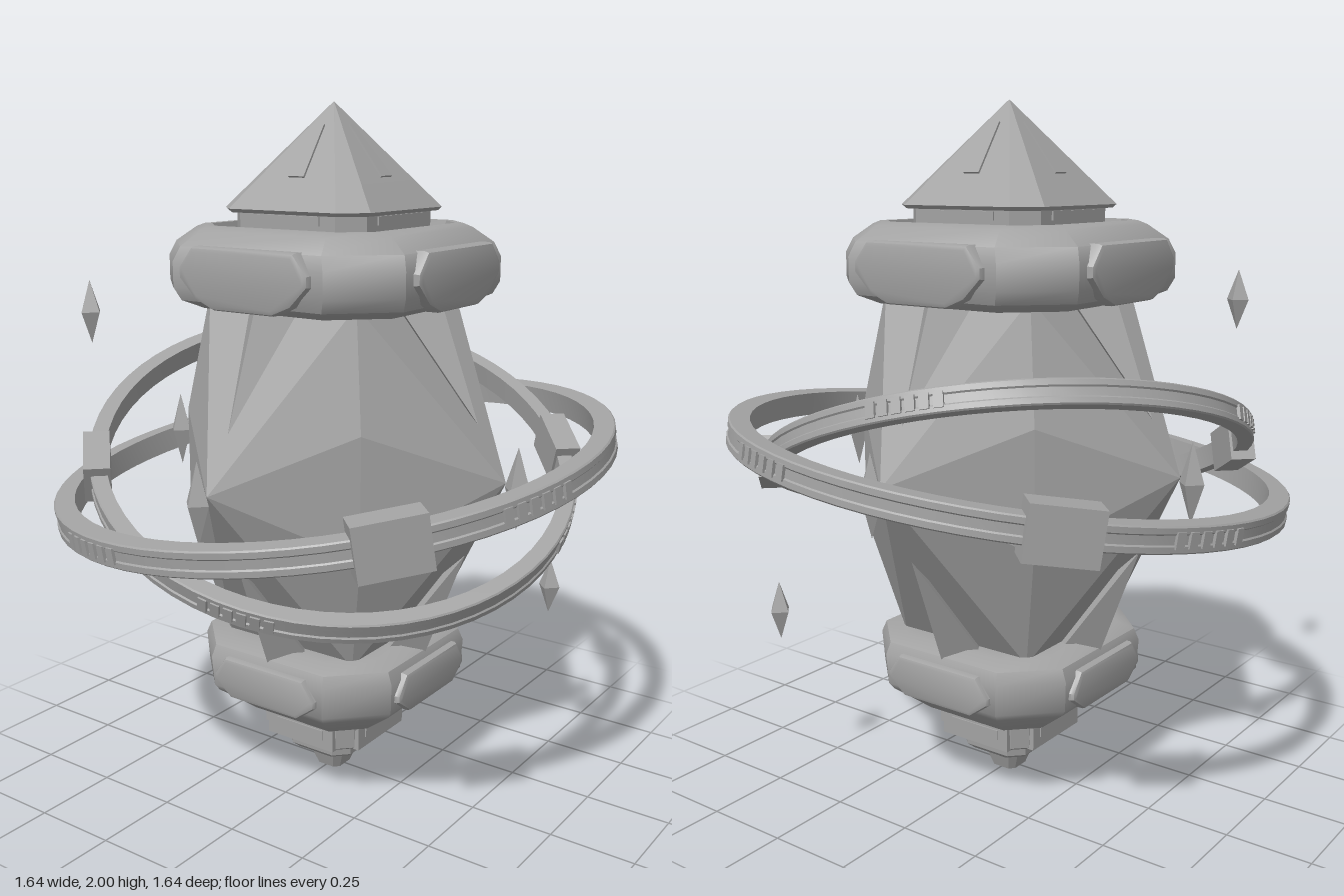
import * as THREE from 'three';
import { toCreasedNormals } from 'three/addons/utils/BufferGeometryUtils.js';
import { ConvexGeometry } from 'three/addons/geometries/ConvexGeometry.js';

const UP = new THREE.Vector3(0, 1, 0);
const V = (x, y, z) => new THREE.Vector3(x, y, z);

// Lofts chamfered-square loops given as [y, halfSize, chamfer]
function loft(rings, crease = 0.5) {
  const pos = [];
  const loops = rings.map(([y, h, c]) => {
    const k = h - c;
    return [[h, -k], [h, k], [k, h], [-k, h], [-h, k], [-h, -k], [-k, -h], [k, -h]].map(([x, z]) => [x, y, z]);
  });
  for (let r = 0; r < loops.length - 1; r++) {
    for (let i = 0; i < 8; i++) {
      const j = (i + 1) % 8;
      const a = loops[r][i], b = loops[r][j], d = loops[r + 1][i], c = loops[r + 1][j];
      if (rings[r + 1][1] > 0) pos.push(...b, ...d, ...c);
      if (rings[r][1] > 0) pos.push(...a, ...d, ...b);
    }
  }
  const g = new THREE.BufferGeometry();
  g.setAttribute('position', new THREE.Float32BufferAttribute(pos, 3));
  return toCreasedNormals(g, crease);
}

// Beveled plate from a mirrored half outline, facing +z
function plate(half, depth, bevel) {
  const pts = [...half, ...half.slice().reverse().map(([x, y]) => [-x, y])];
  const shape = new THREE.Shape(pts.map(([x, y]) => new THREE.Vector2(x, y)));
  return new THREE.ExtrudeGeometry(shape, {
    depth, steps: 1, bevelEnabled: bevel > 0, bevelThickness: bevel, bevelSize: bevel, bevelOffset: -bevel, bevelSegments: 2,
  });
}

export function createModel() {
  const model = new THREE.Group();
  const stone = new THREE.MeshStandardMaterial({ color: 0xa3a3a3 });
  stone.name = 'stone grey';

  const add = (name, geometry, parent = model) => {
    const m = new THREE.Mesh(geometry, stone);
    m.name = name;
    parent.add(m);
    return m;
  };
  const flat = (g) => toCreasedNormals(g, 0.1);
  // Calls build(group) for each of the four sides; +z is outward
  const fourSides = (name, build) => {
    for (let i = 0; i < 4; i++) {
      const side = new THREE.Group();
      side.name = name;
      side.rotation.y = i * Math.PI / 2;
      model.add(side);
      build(side);
    }
  };

  // Faceted crystal body
  const pts = [];
  for (const [sx, sz] of [[1, 1], [1, -1], [-1, 1], [-1, -1]]) {
    pts.push(V(sx * 0.25, 1.48, sz * 0.25), V(sx * 0.3, 1.15, sz * 0.3));
    pts.push(V(sx * 0.3, 0.81, sz * 0.3), V(sx * 0.22, 0.45, sz * 0.22));
  }
  for (const s of [-0.57, 0.57]) pts.push(V(s, 1, 0), V(0, 1, s));
  add('crystalBody', flat(new ConvexGeometry(pts)));

  // Spikes lying on the crystal, pointing to its middle
  const spike = (parent, from, to, r) => {
    const dir = to.clone().sub(from);
    const m = add('crystalSpike', flat(new THREE.ConeGeometry(r, dir.length(), 4)), parent);
    m.position.copy(from).addScaledVector(dir, 0.5);
    m.quaternion.setFromUnitVectors(UP, dir.normalize());
  };
  fourSides('spikes', (side) => {
    spike(side, V(0, 1.47, 0.27), V(0, 1.15, 0.48), 0.085);
    spike(side, V(0, 0.45, 0.24), V(0, 0.77, 0.45), 0.085);
  });

  // Collars
  add('upperCollar', loft([
    [1.46, 0, 0], [1.45, 0.3, 0.13], [1.45, 0.33, 0.13], [1.475, 0.385, 0.15], [1.51, 0.4, 0.15], [1.58, 0.4, 0.15],
    [1.62, 0.385, 0.15], [1.66, 0.33, 0.12], [1.67, 0.3, 0.09], [1.67, 0.275, 0.07], [1.62, 0.265, 0.07], [1.62, 0, 0],
  ], 0.6));
  add('lowerCollar', loft([
    [0.22, 0, 0], [0.22, 0.2, 0.07], [0.225, 0.215, 0.08], [0.31, 0.32, 0.13], [0.33, 0.335, 0.14], [0.42, 0.34, 0.14],
    [0.455, 0.325, 0.13], [0.475, 0.28, 0.11], [0.475, 0.22, 0.08], [0.44, 0, 0],
  ], 0.6));

  // Side pads on the collars
  const upperPad = [[0.1, 1.46], [0.16, 1.485], [0.215, 1.54], [0.215, 1.57], [0.17, 1.625]];
  const lowerPad = [[0.12, 0.315], [0.18, 0.36], [0.18, 0.38], [0.14, 0.435]];
  fourSides('collarPads', (side) => {
    add('upperPad', toCreasedNormals(plate(upperPad, 0.06, 0.014), 0.6), side).position.z = 0.346;
    add('lowerPad', toCreasedNormals(plate(lowerPad, 0.06, 0.012), 0.6), side).position.z = 0.284;
  });

  // Roof with neck band
  add('roofNeck', loft([[1.6, 0.22, 0.06], [1.705, 0.22, 0.06]], 0.3));
  add('roof', loft([[1.705, 0, 0], [1.705, 0.235, 0.06], [1.715, 0.245, 0.065], [1.995, 0.005, 0.0015], [2, 0, 0]], 0.2));
  // Roof slits and neck panels
  const slope = Math.atan2(0.24, 0.28);
  fourSides('roofDetails', (side) => {
    const slit = add('roofSlit', plate([[0.026, -0.09], [0.01, 0.09]], 0.006, 0), side);
    slit.position.set(0, 1.868, 0.114);
    slit.rotation.x = -slope;
    add('neckPanel', new THREE.BoxGeometry(0.22, 0.024, 0.008), side).position.set(0, 1.69, 0.221);
  });

  // Stepped foot
  add('footBlock', loft([[0.13, 0, 0], [0.13, 0.15, 0.04], [0.14, 0.16, 0.04], [0.23, 0.165, 0.04]], 0.3));
  add('footStep', loft([[0.07, 0, 0], [0.07, 0.1, 0.04], [0.085, 0.115, 0.04], [0.14, 0.12, 0.04]], 0.3));
  add('footTip', loft([[0, 0, 0], [0, 0.042, 0.015], [0.05, 0.06, 0.02], [0.08, 0.06, 0.02]], 0.3));
  fourSides('footDetails', (side) => {
    add('footFrame', new THREE.BoxGeometry(0.24, 0.08, 0.02), side).position.set(0, 0.175, 0.165);
    add('footPanel', new THREE.BoxGeometry(0.17, 0.03, 0.008), side).position.set(0, 0.18, 0.175);
  });

  // Tilted orbit rings: rectangular band, edge rims, clamps and clusters of ticks
  const orbit = (name, y, normal, ri, ro, h, clampAngle, clampSize, tickAngle) => {
    const ring = new THREE.Group();
    ring.name = name;
    ring.position.y = y;
    ring.quaternion.setFromUnitVectors(UP, normal.normalize());
    model.add(ring);
    const e = 0.004, q = h * 0.45;
    const profile = [[ri, -h], [ro - e, -h], [ro, -h + e], [ro, -q], [ro - e, -q + e], [ro - e, q - e], [ro, q],
      [ro, h - e], [ro - e, h], [ri, h], [ri, -h]].map(([x, v]) => new THREE.Vector2(x, v));
    add('ringBand', toCreasedNormals(new THREE.LatheGeometry(profile, 64), 0.4), ring);
    const place = (mesh, angle, r) => {
      mesh.position.set(Math.cos(angle) * r, 0, Math.sin(angle) * r);
      mesh.rotation.y = -angle;
    };
    for (const s of [0, Math.PI]) {
      place(add('ringClamp', new THREE.BoxGeometry(...clampSize), ring), clampAngle + s, (ri + ro) / 2);
    }
    for (let c = 0; c < 4; c++) {
      for (let i = 0; i < 6; i++) {
        const tick = add('ringTick', new THREE.BoxGeometry(0.009, h * 1.2, 0.026), ring);
        place(tick, tickAngle + c * Math.PI / 2 + (i - 2.5) * 0.052, ro);
      }
    }
  };
  orbit('outerRing', 0.98, V(-0.105, 1, 0.105), 0.76, 0.82, 0.036, Math.PI / 4, [0.09, 0.145, 0.19], 1.85);
  orbit('innerRing', 0.99, V(0.33, 1, 0.33), 0.665, 0.712, 0.034, -Math.PI / 4, [0.075, 0.12, 0.17], 1.3);

  // Floating shards
  const shard = (x, y, z, r, h) => {
    const m = add('floatingShard', flat(new THREE.OctahedronGeometry(1)));
    m.scale.set(r, h, r);
    m.position.set(x, y, z);
  };
  for (const s of [-0.605, 0.605]) {
    shard(s, 0.99, 0, 0.038, 0.115);
    shard(0, 0.99, s, 0.038, 0.115);
  }
  shard(-0.485, 1.435, 0.485, 0.035, 0.088);
  shard(0.485, 0.54, -0.485, 0.035, 0.088);

  return model;
}
